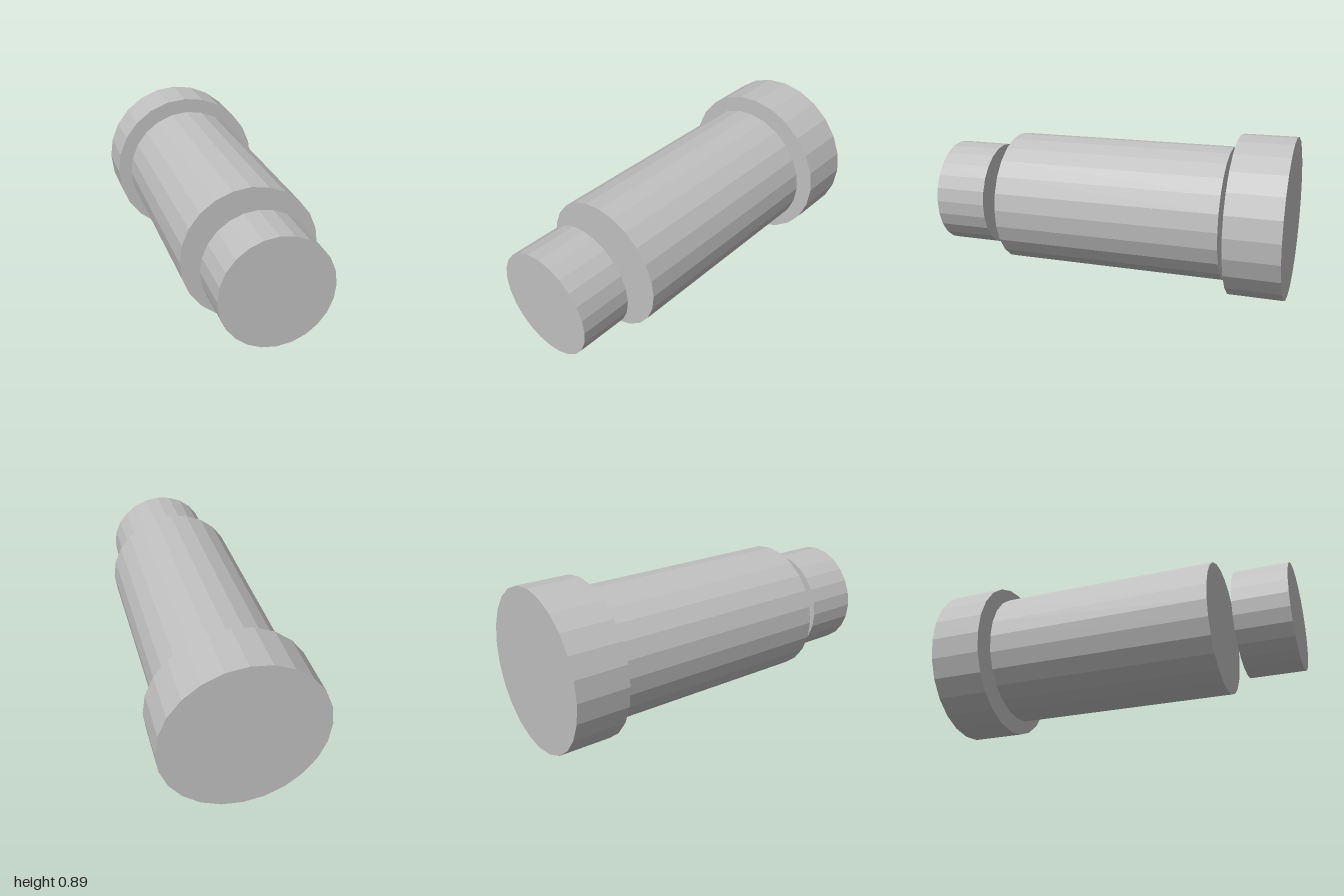
import * as THREE from 'three';

const SIDES = 24;
const AXIS_HEIGHT = 0.444;

export function createModel() {
  const model = new THREE.Group();
  model.name = 'steppedCylinders';

  const grey = new THREE.MeshStandardMaterial({ color: 0xc0c0c0, flatShading: true });
  grey.name = 'grey';

  // A closed drum lying along z between two depths
  function addDrum(name, radius, zBack, zFront) {
    const geometry = new THREE.CylinderGeometry(radius, radius, zFront - zBack, SIDES);
    geometry.rotateX(Math.PI / 2);
    const drum = new THREE.Mesh(geometry, grey);
    drum.name = name;
    drum.position.set(0, AXIS_HEIGHT, (zBack + zFront) / 2);
    model.add(drum);
  }

  // Three separate drums on one axis, with gaps between them
  addDrum('rearCap', 0.444, -1, -0.704);
  addDrum('mainBarrel', 0.37, -0.667, 0.593);
  addDrum('frontTip', 0.296, 0.704, 1);

  return model;
}
